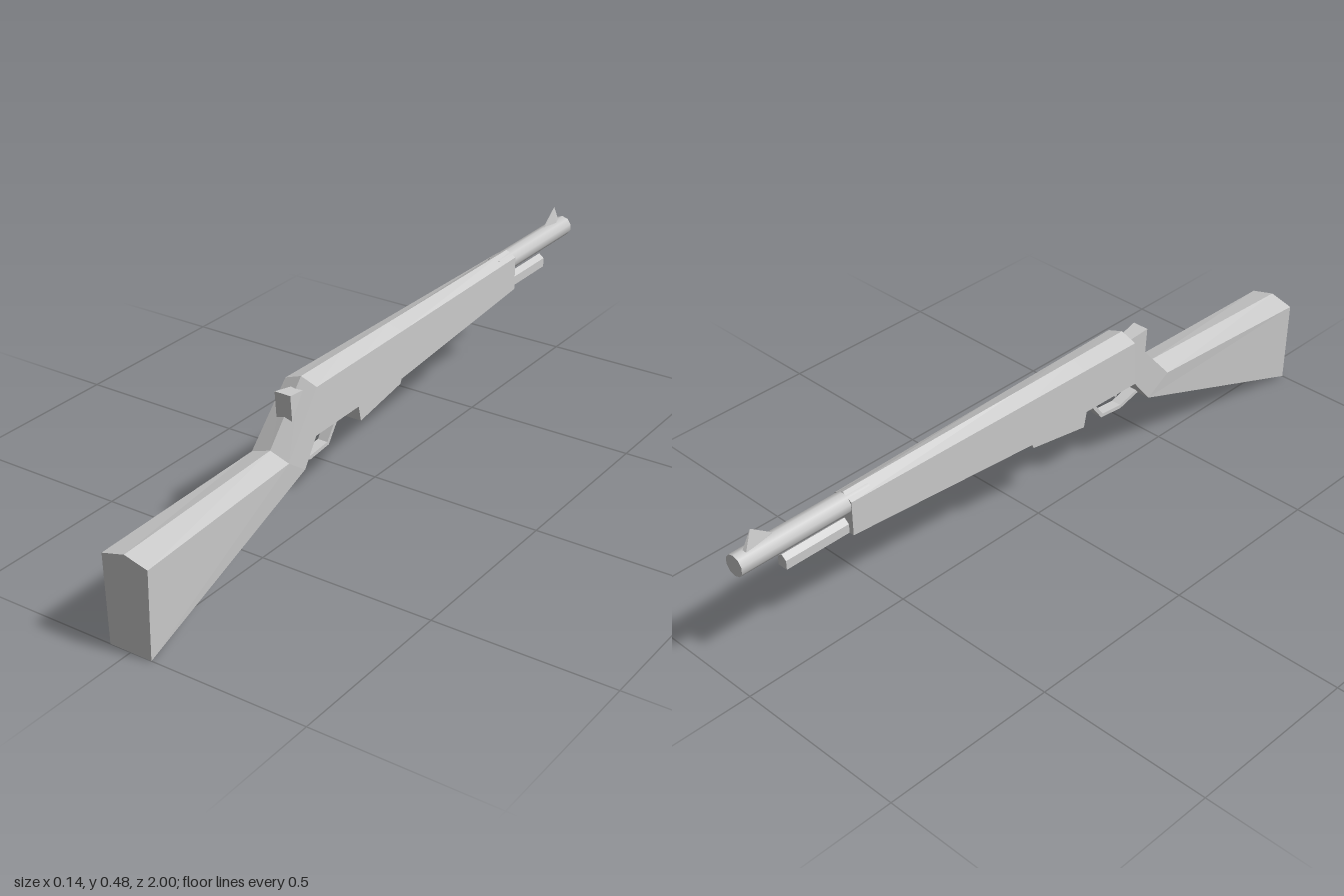
import * as THREE from 'three';

const material = new THREE.MeshStandardMaterial({ color: 0xcccccc, flatShading: true });
const smooth = new THREE.MeshStandardMaterial({ color: 0xcccccc });

function add(group, name, geometry, mat = material) {
  const mesh = new THREE.Mesh(geometry, mat);
  mesh.name = name;
  group.add(mesh);
  return mesh;
}

// Skins rings of [x, y, z] points, each counter-clockwise seen from +z, ordered from +z to -z.
function loft(rings) {
  const pos = [];
  const tri = (a, b, c) => pos.push(...a, ...b, ...c);
  const n = rings[0].length;
  for (let i = 0; i < rings.length - 1; i++) {
    for (let j = 0; j < n; j++) {
      const k = (j + 1) % n, p = rings[i], q = rings[i + 1];
      tri(p[j], q[j], q[k]);
      tri(p[j], q[k], p[k]);
    }
  }
  const first = rings[0], last = rings[rings.length - 1];
  for (let j = 1; j < n - 1; j++) {
    tri(first[0], first[j], first[j + 1]);
    tri(last[0], last[j + 1], last[j]);
  }
  const geo = new THREE.BufferGeometry();
  geo.setAttribute('position', new THREE.Float32BufferAttribute(pos, 3));
  geo.computeVertexNormals();
  return geo;
}

// Five-sided section with a ridged top: bottom z, y, half width; top z, shoulder y, ridge y, half width.
const ridged = (zb, yb, wb, zt, ys, yr, wt) => [
  [-wb, yb, zb], [wb, yb, zb], [wt, ys, zt], [0, yr, zt], [-wt, ys, zt],
];

const rect = (w, y0, z0, y1, z1) => [[-w, y0, z0], [w, y0, z0], [w, y1, z1], [-w, y1, z1]];

// Flat strip of half width w and thickness t following [z, y] points.
function ribbon(points, w, t) {
  return loft(points.map(([z, y], i) => {
    const a = points[Math.max(i - 1, 0)], b = points[Math.min(i + 1, points.length - 1)];
    const dz = a[0] - b[0], dy = a[1] - b[1], l = Math.hypot(dz, dy);
    const ny = (dz / l) * t / 2, nz = (-dy / l) * t / 2;
    return rect(w, y - ny, z - nz, y + ny, z + nz);
  }));
}

export function createModel() {
  const model = new THREE.Group();
  model.name = 'rifle';

  // Butt, wrist, receiver and tapering fore-end in one skin
  const halfWidth = (z) => 0.03 + 0.018 * (z + 0.67);
  const receiver = [[0.14, 0.285], [0.13, 0.24], [-0.06, 0.268], [-0.065, 0.28], [-0.67, 0.32]];
  add(model, 'stock', loft([
    ridged(1, 0, 0.062, 1, 0.245, 0.263, 0.068),
    ridged(0.385, 0.215, 0.052, 0.457, 0.266, 0.285, 0.057),
    ridged(0.33, 0.285, 0.048, 0.325, 0.418, 0.435, 0.048),
    ...receiver.map(([z, y]) => ridged(z, y, halfWidth(z), z, 0.418, 0.435, halfWidth(z))),
  ]));

  // Barrel
  const barrel = add(model, 'barrel', new THREE.CylinderGeometry(0.0295, 0.0295, 0.4, 10), smooth);
  barrel.rotation.x = -Math.PI / 2;
  barrel.position.set(0, 0.403, -0.8);

  // Rod below the barrel
  add(model, 'rod', loft([-0.62, -0.865].map((z) => ridged(z, 0.32, 0.015, z, 0.346, 0.358, 0.015))));

  // Pointed front sight
  add(model, 'frontSight', loft([
    [[0, 0.425, -0.885], [0, 0.425, -0.885], [0, 0.435, -0.885]],
    [[-0.009, 0.425, -0.945], [0.009, 0.425, -0.945], [0, 0.479, -0.945]],
    [[-0.011, 0.425, -0.972], [0.011, 0.425, -0.972], [0, 0.432, -0.972]],
  ]));

  // Hammer behind the receiver
  add(model, 'hammer', loft([
    rect(0.024, 0.32, 0.395, 0.418, 0.402),
    rect(0.018, 0.32, 0.34, 0.408, 0.34),
  ]));

  // Trigger and its guard
  add(model, 'triggerGuard', ribbon(
    [[0.385, 0.225], [0.31, 0.205], [0.235, 0.212], [0.178, 0.29]], 0.015, 0.011));
  add(model, 'trigger', ribbon([[0.325, 0.29], [0.31, 0.262], [0.297, 0.24]], 0.007, 0.009));

  return model;
}
